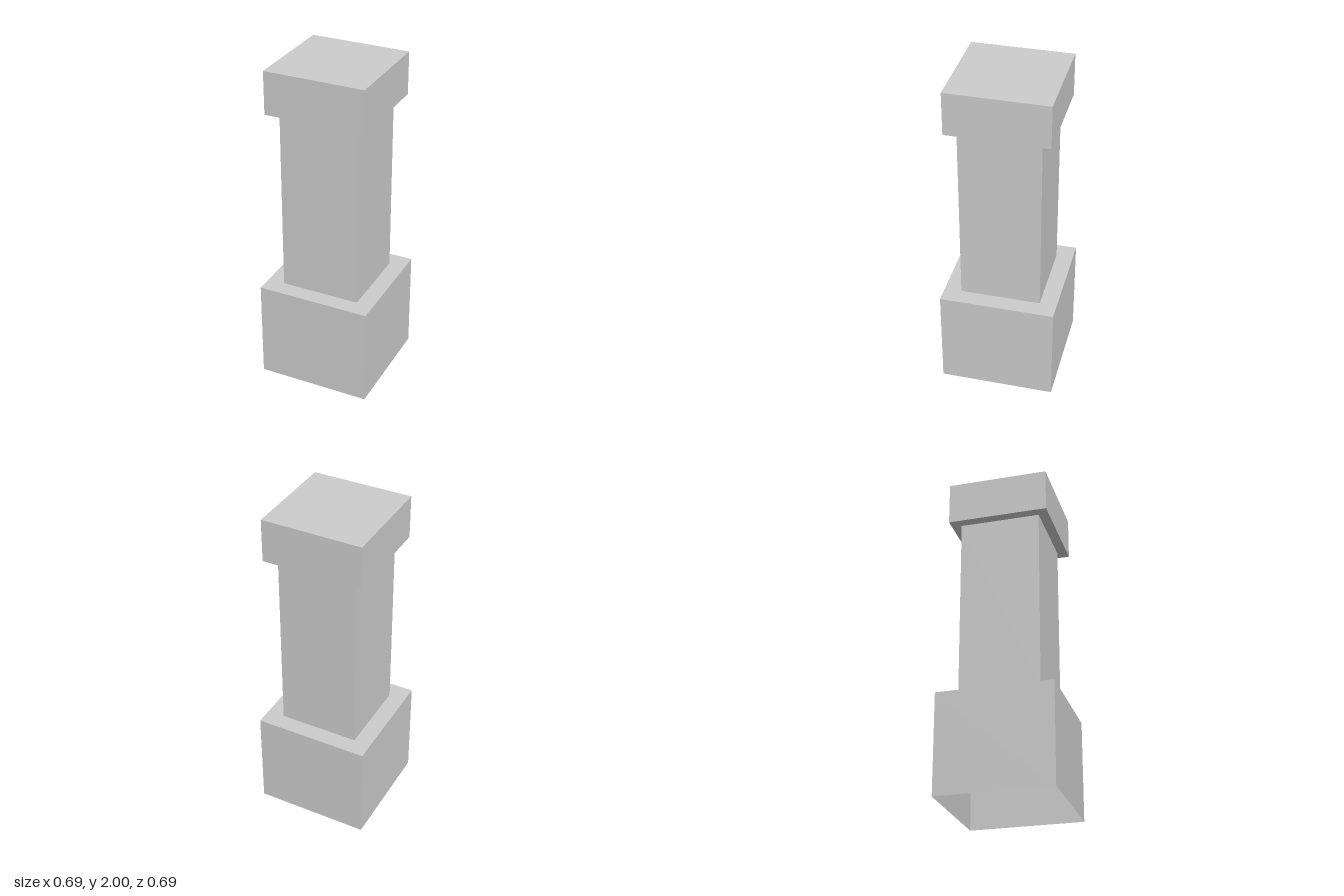
import * as THREE from 'three';

const BASE = 0.346, SHAFT = 0.242, CAP = 0.303; // half widths
const BASE_TOP = 0.61, CAP_BOTTOM = 1.74, TOP = 2;

export function createModel() {
  const group = new THREE.Group();
  const material = new THREE.MeshStandardMaterial({
    color: 0xcccccc, flatShading: true, side: THREE.DoubleSide,
  });

  // Square shell from a profile of [half width, height] points
  function squareShell(name, profile) {
    const points = profile.map(([half, y]) => new THREE.Vector2(half * Math.SQRT2, y));
    const mesh = new THREE.Mesh(new THREE.LatheGeometry(points, 4, Math.PI / 4), material);
    mesh.name = name;
    group.add(mesh);
  }

  // Plinth, open underneath, with a ledge around the shaft
  squareShell('base', [[BASE, 0], [BASE, BASE_TOP], [SHAFT, BASE_TOP]]);
  // Plain square shaft
  squareShell('shaft', [[SHAFT, BASE_TOP], [SHAFT, CAP_BOTTOM]]);
  // Overhanging capital with a flat top
  squareShell('capital', [[SHAFT, CAP_BOTTOM], [CAP, CAP_BOTTOM], [CAP, TOP], [0, TOP]]);

  return group;
}
